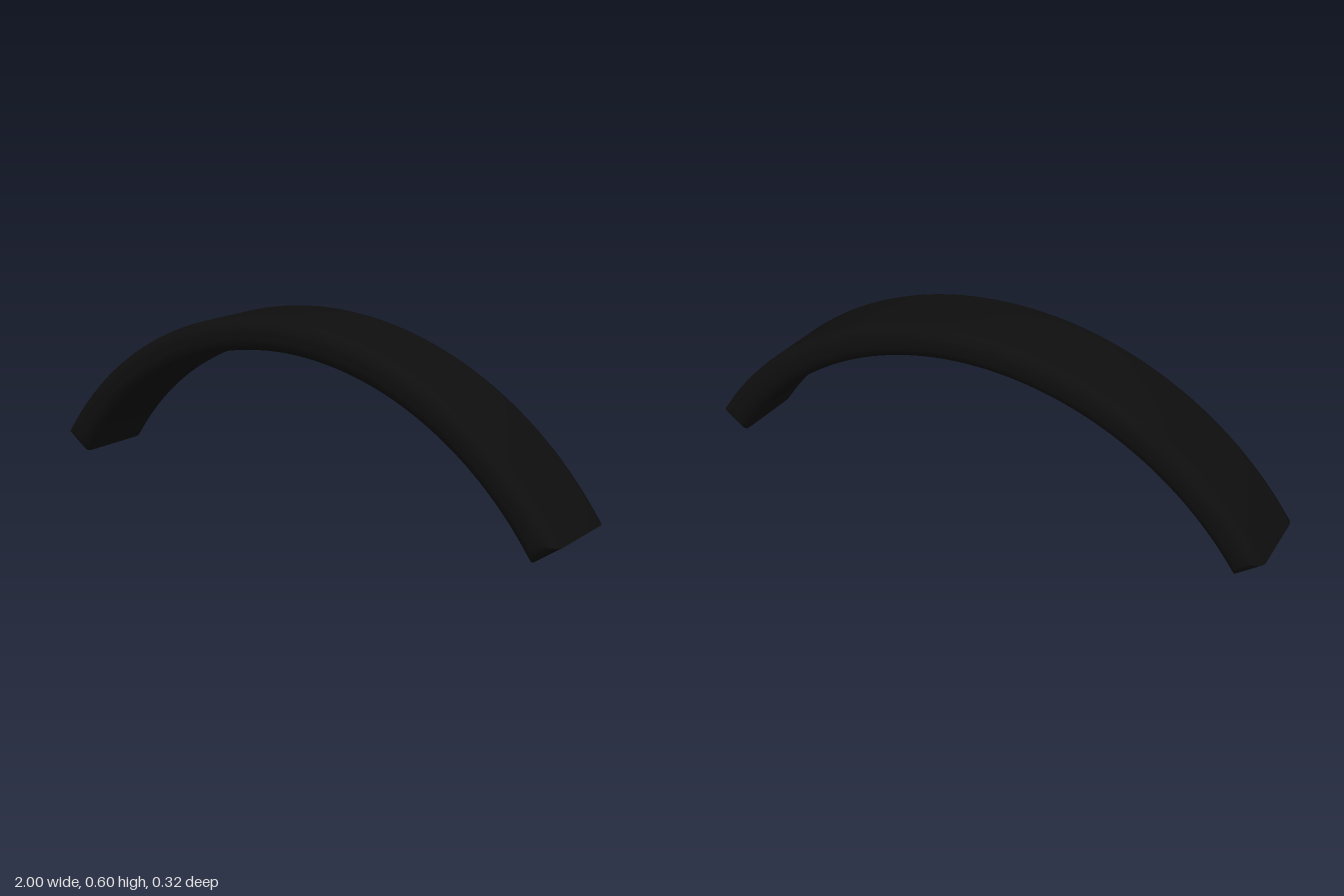
import * as THREE from 'three';
import { toCreasedNormals } from 'three/addons/utils/BufferGeometryUtils.js';

export function createModel() {
  const group = new THREE.Group();
  const black = new THREE.MeshStandardMaterial({ color: 0x0e0e0e });
  black.name = 'black';

  // Arch core; the rounded bevel grows it to its full size on every side
  const outerRadius = 1.202, thickness = 0.11, depth = 0.32, bevel = 0.045;
  const halfAngle = 0.945, centreY = -0.602;
  const start = Math.PI / 2 - halfAngle, end = Math.PI / 2 + halfAngle;
  const shape = new THREE.Shape();
  shape.absarc(0, 0, outerRadius - bevel, start, end, false);
  shape.absarc(0, 0, outerRadius - thickness + bevel, end, start, true);
  shape.closePath();

  const geometry = new THREE.ExtrudeGeometry(shape, {
    depth: depth - 2 * bevel,
    curveSegments: 64,
    bevelEnabled: true,
    bevelSize: bevel,
    bevelThickness: bevel,
    bevelSegments: 8,
  });
  geometry.translate(0, centreY, bevel - depth / 2);

  // Smooth curves, crisp edges at the four end corners
  const arch = new THREE.Mesh(toCreasedNormals(geometry, 0.6), black);
  arch.name = 'archedHandle';
  group.add(arch);
  return group;
}
